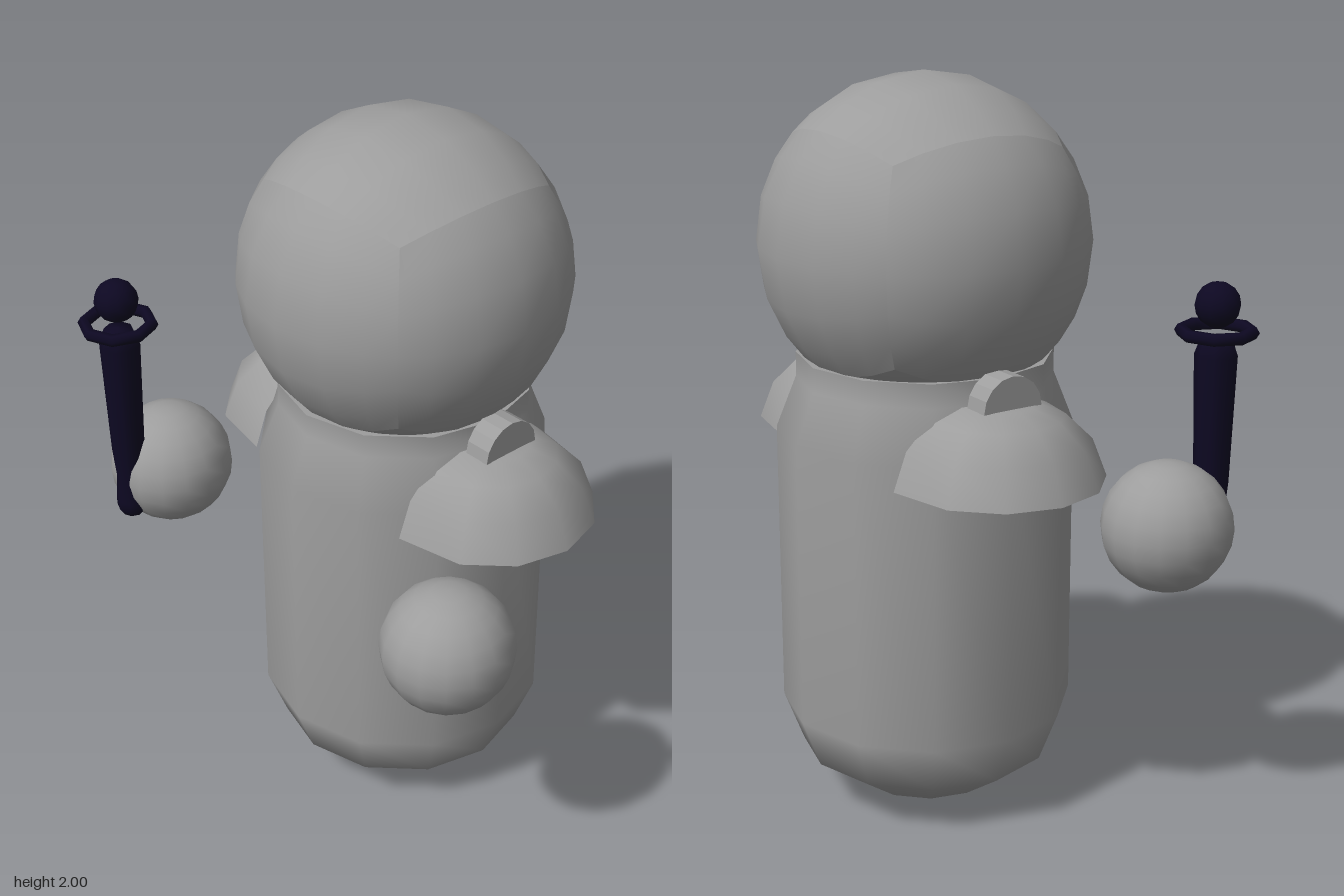
import * as THREE from 'three';

const grey = new THREE.MeshStandardMaterial({ color: 0x9d9d9d });
const greyThin = new THREE.MeshStandardMaterial({ color: 0x9d9d9d, side: THREE.DoubleSide });
const dark = new THREE.MeshStandardMaterial({ color: 0x0d0822 });

const CENTRE_Z = -0.093; // body axis

function add(parent, name, geometry, material, x = 0, y = 0, z = 0) {
  const mesh = new THREE.Mesh(geometry, material);
  mesh.name = name;
  mesh.position.set(x, y, z);
  parent.add(mesh);
  return mesh;
}

// Ball made from a subdivided cube pushed out to a sphere
function cubeBall(radius, segments) {
  const g = new THREE.BoxGeometry(1, 1, 1, segments, segments, segments);
  const p = g.attributes.position;
  const v = new THREE.Vector3();
  for (let i = 0; i < p.count; i++) {
    v.fromBufferAttribute(p, i).setLength(radius);
    p.setXYZ(i, v.x, v.y, v.z);
  }
  g.computeVertexNormals();
  return g;
}

// Profile given as [radius, height] pairs from the bottom up
function lathe(profile, segments, start = 0, length = Math.PI * 2) {
  return new THREE.LatheGeometry(profile.map(([r, y]) => new THREE.Vector2(r, y)), segments, start, length);
}

// Half dome, open below and towards the body, its inner edge drawn inwards
function padGeometry() {
  const g = lathe([[0.283, 1.0], [0.245, 1.1], [0.175, 1.168], [0.1, 1.198], [0, 1.2]], 6, 0, Math.PI);
  const p = g.attributes.position;
  for (let i = 0; i < p.count; i++) if (p.getX(i) < 1e-4) p.setX(i, -0.045);
  g.computeVertexNormals();
  return g;
}

export function createModel() {
  const model = new THREE.Group();
  model.name = 'figure';

  // Head
  add(model, 'head', cubeBall(0.44, 6), grey, 0, 1.56, CENTRE_Z);

  // Torso with rounded base and a narrower collar
  const torso = [[0, 0], [0.2, 0.043], [0.345, 0.143], [0.398, 0.28], [0.398, 1.06], [0.343, 1.2], [0.343, 1.265]];
  add(model, 'torso', lathe(torso, 12), grey, 0, 0, CENTRE_Z);
  const cap = add(model, 'torsoTop', new THREE.CircleGeometry(0.343, 12), grey, 0, 1.265, CENTRE_Z);
  cap.rotation.x = -Math.PI / 2;

  // Shoulder pads, each with a small crest, and floating hands
  for (const [side, s] of [['left', 1], ['right', -1]]) {
    const shoulder = new THREE.Group();
    shoulder.name = side + 'Shoulder';
    shoulder.position.set(s * 0.335, 0, CENTRE_Z);
    if (s < 0) shoulder.rotation.y = Math.PI;
    add(shoulder, side + 'ShoulderPad', padGeometry(), greyThin);
    const crestShape = new THREE.Shape();
    crestShape.absarc(0, 0, 0.088, 0, Math.PI, false);
    const crest = new THREE.ExtrudeGeometry(crestShape, { depth: 0.075, bevelEnabled: false, curveSegments: 4 });
    crest.rotateY(Math.PI / 2);
    add(shoulder, side + 'ShoulderCrest', crest, grey, -0.005, 1.197, 0);
    model.add(shoulder);

    add(model, side + 'Hand', new THREE.SphereGeometry(0.174, 16, 12), grey, s * 0.57, 0.864, 0.281);
  }

  // Staff held by the right hand: shaft, ring and ball
  const staff = new THREE.Group();
  staff.name = 'staff';
  staff.position.set(-0.57, 0, 0.424);
  const shaft = [[0, 0.747], [0.03, 0.752], [0.044, 0.775], [0.044, 0.8], [0.038, 0.87], [0.046, 0.96],
    [0.056, 1.3], [0.04, 1.345], [0, 1.352]];
  add(staff, 'staffShaft', lathe(shaft, 8), dark);
  const ring = add(staff, 'staffRing', new THREE.TorusGeometry(0.092, 0.017, 6, 8), dark, 0, 1.362, 0);
  ring.rotation.x = Math.PI / 2;
  add(staff, 'staffBall', new THREE.SphereGeometry(0.06, 12, 8), dark, 0, 1.432, 0);
  model.add(staff);

  return model;
}
